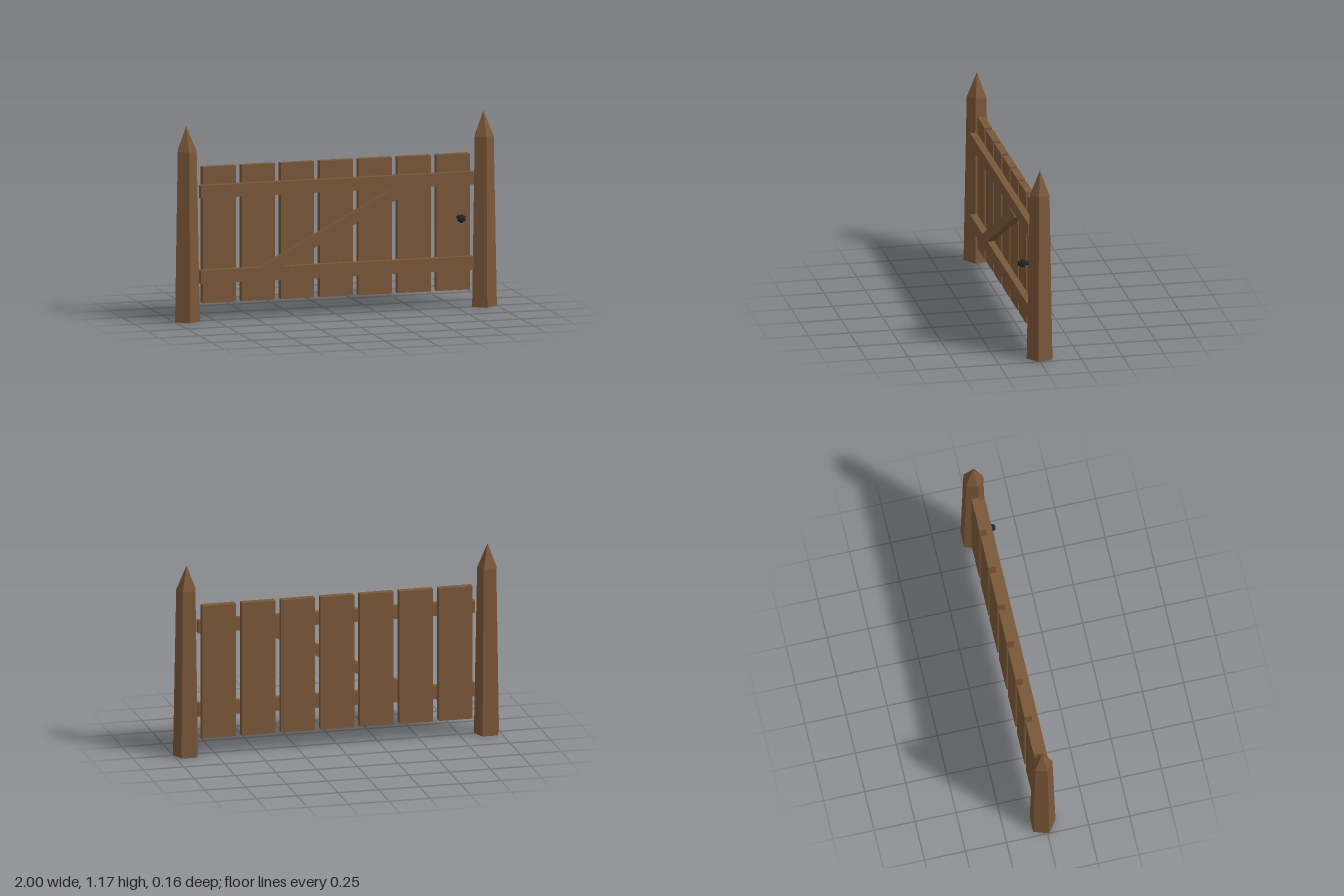
import * as THREE from 'three';

export function createModel() {
  const gate = new THREE.Group();
  gate.name = 'gate';

  const wood = new THREE.MeshStandardMaterial({ color: 0x7b5839, flatShading: true });
  wood.name = 'brown wood';
  const iron = new THREE.MeshStandardMaterial({ color: 0x1e2729, flatShading: true });
  iron.name = 'dark iron';

  const add = (name, geometry, material, x = 0, y = 0, z = 0) => {
    const mesh = new THREE.Mesh(geometry, material);
    mesh.name = name;
    mesh.position.set(x, y, z);
    gate.add(mesh);
    return mesh;
  };
  const profile = (pairs) => pairs.map(([r, y]) => new THREE.Vector2(r, y));

  // Tapered five-sided posts with pointed tops
  const postShape = profile([[0, 0], [0.081, 0], [0.062, 1.025], [0, 1.175]]);
  add('leftPost', new THREE.LatheGeometry(postShape, 5), wood, 0.923, 0, -0.015);
  add('rightPost', new THREE.LatheGeometry(postShape, 5), wood, -0.923, 0, -0.015);

  // Upright planks
  for (let i = 0; i < 7; i++) {
    add(`plank${i + 1}`, new THREE.BoxGeometry(0.206, 0.82, 0.045), wood,
      -0.721 + i * 0.242, 0.515, -0.0215);
  }

  // Horizontal rails
  add('topRail', new THREE.BoxGeometry(1.697, 0.077, 0.042), wood, -0.001, 0.782, 0.021);
  add('bottomRail', new THREE.BoxGeometry(1.697, 0.08, 0.042), wood, -0.001, 0.27, 0.021);

  // Diagonal brace cut to fit between the rails
  const brace = new THREE.Shape(profile([
    [-0.475, 0.31], [-0.34, 0.31], [0.467, 0.73], [0.455, 0.744], [0.35, 0.744],
  ]));
  add('brace', new THREE.ExtrudeGeometry(brace, { depth: 0.047, bevelEnabled: false }), wood);

  // Faceted knob on a short stem
  const knobShape = profile([[0.014, 0], [0.014, 0.04], [0.028, 0.057], [0.014, 0.084], [0, 0.084]]);
  const knob = add('knob', new THREE.LatheGeometry(knobShape, 6), iron, 0.765, 0.545, 0);
  knob.rotation.x = Math.PI / 2;

  return gate;
}
